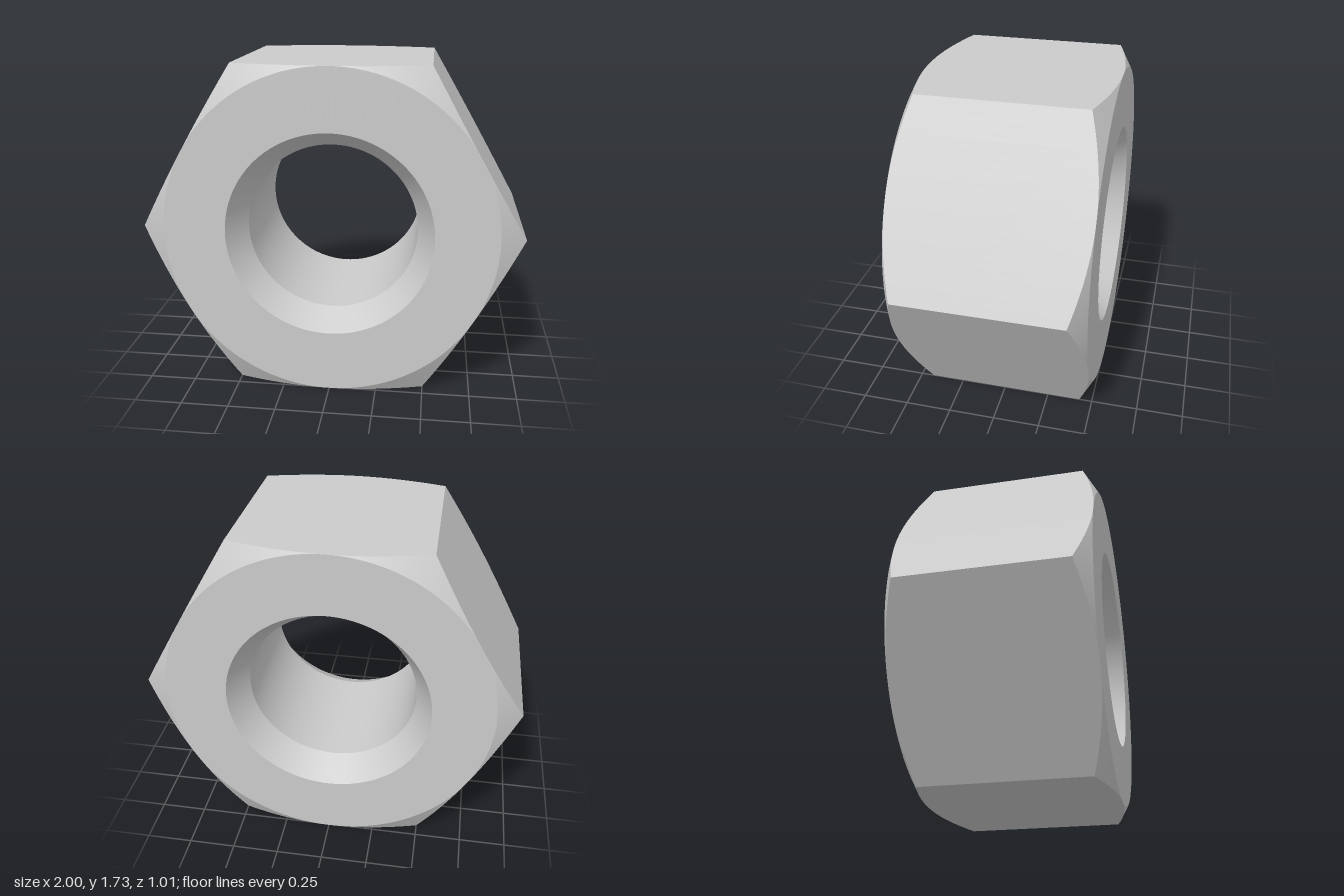
import * as THREE from 'three';
import { toCreasedNormals } from 'three/addons/utils/BufferGeometryUtils.js';

const FLAT = Math.sqrt(3) / 2; // centre to flat; centre to corner is 1
const HALF = 0.506;            // half thickness
const SINK = 0.54, BORE = 0.45, SINK_DEPTH = 0.156;
const SEGMENTS = 144;          // multiple of 12: hits every corner and mid-flat

// Closed cross-section [radius, z] at one angle around the bore
function section(angle) {
  const sixth = Math.PI / 3;
  const r = FLAT / Math.cos(angle - (Math.floor(angle / sixth + 1e-6) + 0.5) * sixth);
  const z = HALF - (r - FLAT) * Math.tan(Math.PI / 6); // conical corner chamfer
  return [
    [SINK, HALF], [FLAT, HALF],                        // front washer face
    [r, z], [r, -z],                                   // hexagon flat
    [FLAT, -HALF], [SINK, -HALF],                      // back washer face
    [BORE, SINK_DEPTH - HALF], [BORE, HALF - SINK_DEPTH], // bore between countersinks
  ];
}

function hexNutGeometry() {
  const positions = [], indices = [];
  const n = section(0).length;
  for (let i = 0; i < SEGMENTS; i++) {
    const angle = (i / SEGMENTS) * Math.PI * 2;
    for (const [r, z] of section(angle)) positions.push(r * Math.cos(angle), r * Math.sin(angle), z);
    for (let j = 0; j < n; j++) {
      const next = ((i + 1) % SEGMENTS) * n, k = (j + 1) % n;
      const a = i * n + j, b = i * n + k, c = next + k, d = next + j;
      indices.push(a, b, c, a, c, d);
    }
  }
  const geometry = new THREE.BufferGeometry();
  geometry.setAttribute('position', new THREE.Float32BufferAttribute(positions, 3));
  geometry.setIndex(indices);
  return toCreasedNormals(geometry, 0.3);
}

export function createModel() {
  const group = new THREE.Group();
  group.name = 'hexNut';
  const nut = new THREE.Mesh(hexNutGeometry(), new THREE.MeshStandardMaterial({ color: 0xcccccc }));
  nut.name = 'nutBody';
  nut.position.y = FLAT; // rests on one flat
  group.add(nut);
  return group;
}
